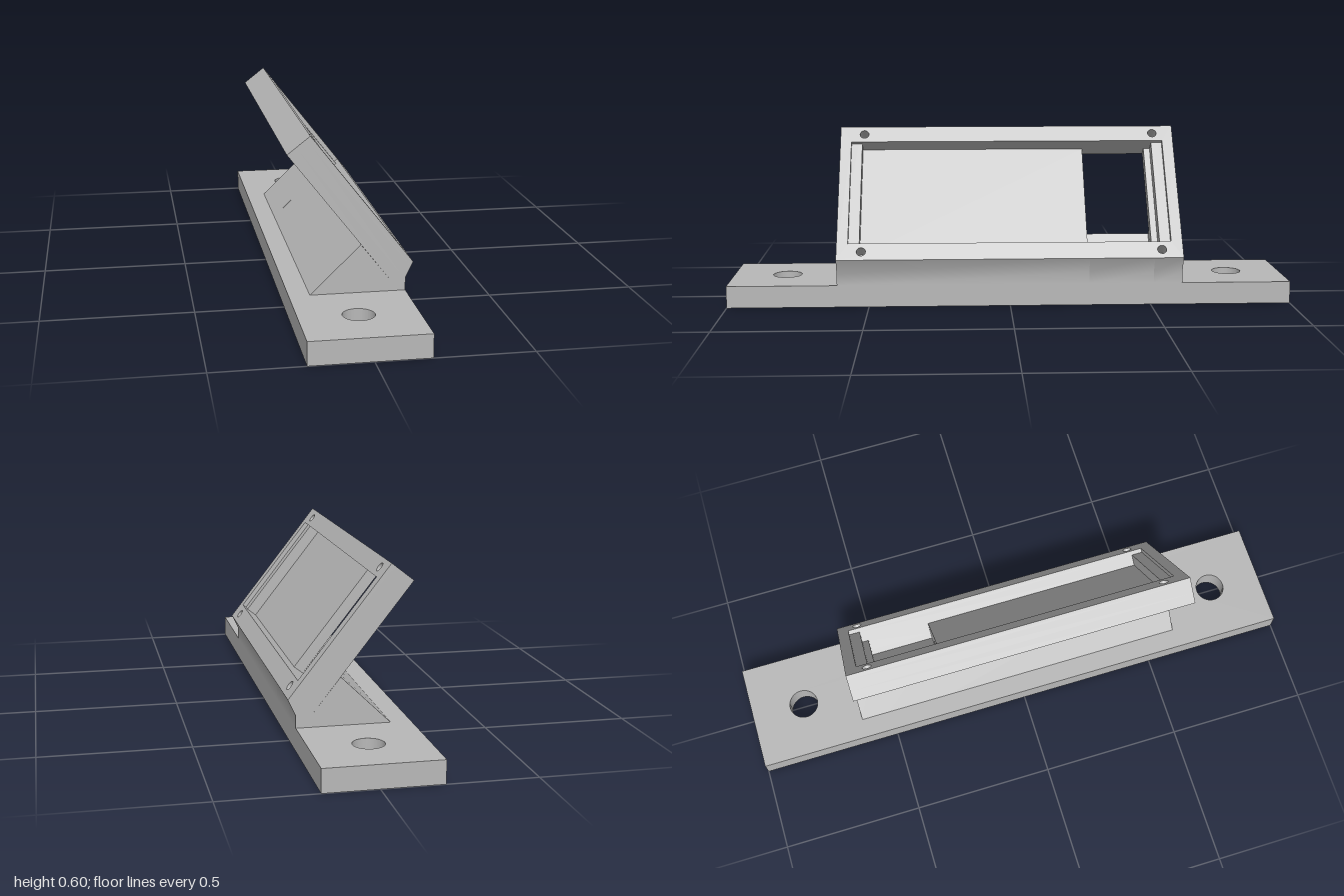
import * as THREE from 'three';
import { toCreasedNormals } from 'three/addons/utils/BufferGeometryUtils.js';

const ANGLE = Math.atan2(0.616, 0.788); // backward tilt of the panel
const C = Math.cos(ANGLE), S = Math.sin(ANGLE);
const CORNER = [0.205, 0.174]; // lower front edge of the panel
const HALF = 0.612, LENGTH = 0.547, THICK = 0.095;
const OPEN_LOW = 0.065, OPEN_HIGH = 0.483;
const WINDOW = [-0.51, -0.28];

// Point in the side profile: t up the panel face, d inward from it
const onPanel = (t, d) => [CORNER[0] - S * t - C * d, CORNER[1] + C * t - S * d];

function rect(Type, x0, x1, y0, y1) {
  return new Type([[x0, y0], [x1, y0], [x1, y1], [x0, y1]].map(p => new THREE.Vector2(...p)));
}

function circle(x, y, r) {
  const path = new THREE.Path();
  path.absarc(x, y, r, 0, Math.PI * 2, true);
  return path;
}

function extrude(shape, depth) {
  return new THREE.ExtrudeGeometry(shape, { depth, bevelEnabled: false, curveSegments: 32 });
}

export function createModel() {
  const model = new THREE.Group();
  const grey = new THREE.MeshStandardMaterial({ color: 0xb8b8b8 });
  grey.name = 'grey plastic';

  const add = (parent, name, geometry) => {
    const mesh = new THREE.Mesh(geometry, grey);
    mesh.name = name;
    parent.add(mesh);
    return mesh;
  };

  // Base plate with a mounting hole at each end
  const plate = rect(THREE.Shape, -0.204, 0.18, -1, 1);
  for (const z of [-0.807, 0.807]) plate.holes.push(circle(-0.012, z, 0.052));
  add(model, 'basePlate', extrude(plate, 0.078).rotateX(-Math.PI / 2));

  // Wedge support, notched behind the window
  const front = [CORNER, [0.18, 0.12], [0.18, 0.078], [-0.135, 0.078]];
  const solid = [...front, [0.032, 0.24], onPanel(0, THICK)];
  const notched = [...front, [0.017, 0.226], onPanel(OPEN_LOW, 0.116),
    onPanel(OPEN_LOW, THICK), onPanel(0, THICK)];
  const wedge = new THREE.Group();
  wedge.name = 'wedgeSupport';
  model.add(wedge);
  for (const [name, profile, z0, z1] of [
    ['wedgeBack', solid, -HALF, WINDOW[0]],
    ['wedgeNotch', notched, ...WINDOW],
    ['wedgeFront', solid, WINDOW[1], HALF],
  ]) {
    const shape = new THREE.Shape(profile.map(p => new THREE.Vector2(...p)));
    add(wedge, name, toCreasedNormals(extrude(shape, z1 - z0), 0.5)).position.z = z0;
  }

  // Tilted panel stacked from its face inward: rim, deep pocket, floor with window
  const panel = new THREE.Group();
  panel.name = 'tiltedPanel';
  panel.matrixAutoUpdate = true;
  panel.quaternion.setFromRotationMatrix(new THREE.Matrix4().makeBasis(
    new THREE.Vector3(0, 0, 1), new THREE.Vector3(-S, C, 0), new THREE.Vector3(-C, -S, 0)));
  panel.position.set(...CORNER, 0);
  model.add(panel);
  for (const [name, x0, x1, d0, d1, screws] of [
    ['panelRim', -0.572, 0.572, 0, 0.016, true],
    ['panelPocket', -0.533, 0.533, 0.016, 0.057, true],
    ['panelFloor', ...WINDOW, 0.057, THICK, false],
  ]) {
    const shape = rect(THREE.Shape, -HALF, HALF, 0, LENGTH);
    shape.holes.push(rect(THREE.Path, x0, x1, OPEN_LOW, OPEN_HIGH));
    if (screws) {
      for (const x of [-0.537, 0.525]) {
        for (const t of [0.033, 0.515]) shape.holes.push(circle(x, t, 0.016));
      }
    }
    add(panel, name, extrude(shape, d1 - d0)).position.z = d0;
  }

  return model;
}
